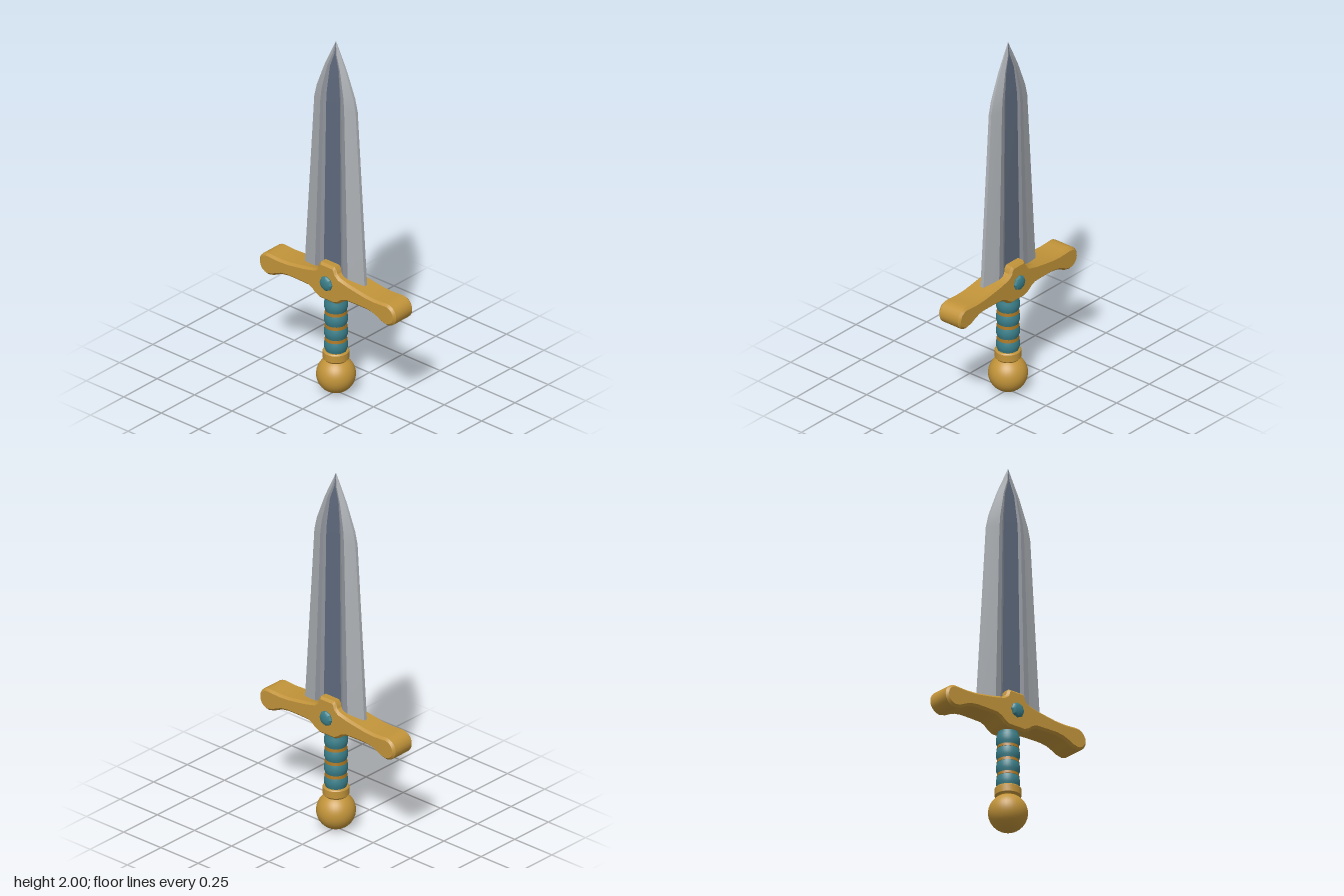
import * as THREE from 'three';
import { toCreasedNormals } from 'three/addons/utils/BufferGeometryUtils.js';

const material = (name, color, extra = {}) => {
  const m = new THREE.MeshStandardMaterial({ color, ...extra });
  m.name = name;
  return m;
};

export function createModel() {
  const gold = material('gold', 0xc2943a);
  const bronze = material('bronze binding', 0xa8741f);
  const teal = material('teal', 0x3b7f8a);
  const steel = material('bright steel', 0xacb0b4);
  const midSteel = material('mid steel', 0x8f949b);
  const darkSteel = material('dark steel', 0x5f6b7e);

  const model = new THREE.Group();
  model.name = 'dagger';
  const add = (name, geometry, mat, parent = model) => {
    const mesh = new THREE.Mesh(geometry, mat);
    mesh.name = name;
    parent.add(mesh);
    return mesh;
  };
  const lathe = (points, segments = 32) => toCreasedNormals(
    new THREE.LatheGeometry(points.map(([r, y]) => new THREE.Vector2(r, y)), segments), 0.6);

  // Blade: cross-sections of [height, edge, ridge, inner ridge, fuller, half thickness]
  const rows = [
    [0.66, 0.2, 0.11, 0.078, 0.058, 0.036],
    [1.64, 0.138, 0.08, 0.06, 0.046, 0.029],
    [1.71, 0.122, 0.073, 0.056, 0.043, 0.027],
    [1.85, 0.069, 0.043, 0.035, 0.028, 0.019],
    [1.93, 0.032, 0.013, 0.009, 0.003, 0.011],
    [2.0, 0, 0, 0, 0, 0],
  ];
  const sections = rows.map(([y, w, r, g, f, z]) => {
    const quarter = [[w, z * 0.28], [r, z], [g, z], [f, z * 0.76]];
    const front = [...quarter, ...quarter.slice().reverse().map(([x, d]) => [-x, d])];
    return [...front, ...front.map(([x, d]) => [-x, -d])].map(([x, d]) => [x, y, d]);
  });
  const strips = { bevels: [], flats: [], fullers: [] };
  const stripOrder = ['bevels', 'flats', 'flats', 'fullers', 'flats', 'flats', 'bevels', 'bevels'];
  for (let k = 0; k < sections.length - 1; k++) {
    for (let i = 0; i < 16; i++) {
      const j = (i + 1) % 16;
      const [a, b, c, d] = [sections[k][j], sections[k][i], sections[k + 1][i], sections[k + 1][j]];
      const out = strips[stripOrder[i % 8]];
      out.push(...a, ...b, ...c);
      if (k < sections.length - 2) out.push(...a, ...c, ...d);
    }
  }
  const blade = new THREE.Group();
  blade.name = 'blade';
  model.add(blade);
  const bladeMaterials = { bevels: steel, flats: midSteel, fullers: darkSteel };
  for (const [name, positions] of Object.entries(strips)) {
    const geometry = new THREE.BufferGeometry();
    geometry.setAttribute('position', new THREE.Float32BufferAttribute(positions, 3));
    geometry.computeVertexNormals();
    add(name, toCreasedNormals(geometry, 0.2), bladeMaterials[name], blade);
  }

  // Crossguard: mirrored outline with rounded ends and a chamfered rim
  const half = [
    [0.045, 0.75], [0.056, 0.737], [0.063, 0.715], [0.083, 0.7], [0.14, 0.686],
    [0.2, 0.676], [0.26, 0.667], [0.32, 0.664], [0.36, 0.666],
  ];
  for (let i = 0; i <= 10; i++) {
    const a = Math.PI / 2 - (i / 10) * Math.PI;
    half.push([0.395 + 0.06 * Math.cos(a), 0.608 + 0.06 * Math.sin(a)]);
  }
  half.push([0.36, 0.556], [0.33, 0.571], [0.3, 0.583], [0.26, 0.589], [0.2, 0.589],
    [0.13, 0.587], [0.105, 0.577], [0.08, 0.557], [0.052, 0.544]);
  const outline = [...half, ...half.slice().reverse().map(([x, y]) => [-x, y])];
  const guard = new THREE.ExtrudeGeometry(
    new THREE.Shape(outline.map(([x, y]) => new THREE.Vector2(x, y))),
    { depth: 0.12, bevelSize: 0.012, bevelThickness: 0.012, bevelOffset: -0.012, bevelSegments: 1 });
  guard.translate(0, 0, -0.06);
  add('crossguard', toCreasedNormals(guard, 0.5), gold);

  // Gems on both faces of the guard
  for (const side of [1, -1]) {
    const gem = add(side > 0 ? 'frontGem' : 'backGem',
      lathe([[0.04, 0.06], [0.04, 0.077], [0.034, 0.085], [0.02, 0.09], [0, 0.091]], 8), teal);
    gem.position.y = 0.645;
    gem.rotation.x = side * Math.PI / 2;
    gem.rotation.order = 'XYZ';
  }

  // Grip: four swelling segments with narrow bindings between them
  const grip = [];
  for (let i = 0; i < 4; i++) {
    const y = 0.235 + i * 0.076;
    grip.push([0.052, y], [0.059, y + 0.02], [0.061, y + 0.038], [0.058, y + 0.058]);
  }
  grip.push([0.052, 0.539], [0.052, 0.56]);
  add('grip', lathe(grip), teal);
  for (let i = 1; i < 4; i++) {
    const y = 0.235 + i * 0.076;
    add('gripBinding', lathe([[0.05, y - 0.012], [0.0575, y - 0.011], [0.0545, y + 0.005], [0.05, y + 0.006]]), bronze);
  }

  // Collar and round pommel
  add('collar', lathe([[0.05, 0.17], [0.058, 0.19], [0.067, 0.197], [0.067, 0.235], [0.062, 0.241], [0.04, 0.241]]), gold);
  add('pommel', new THREE.SphereGeometry(0.1, 32, 24).translate(0, 0.103, 0), gold);

  return model;
}
